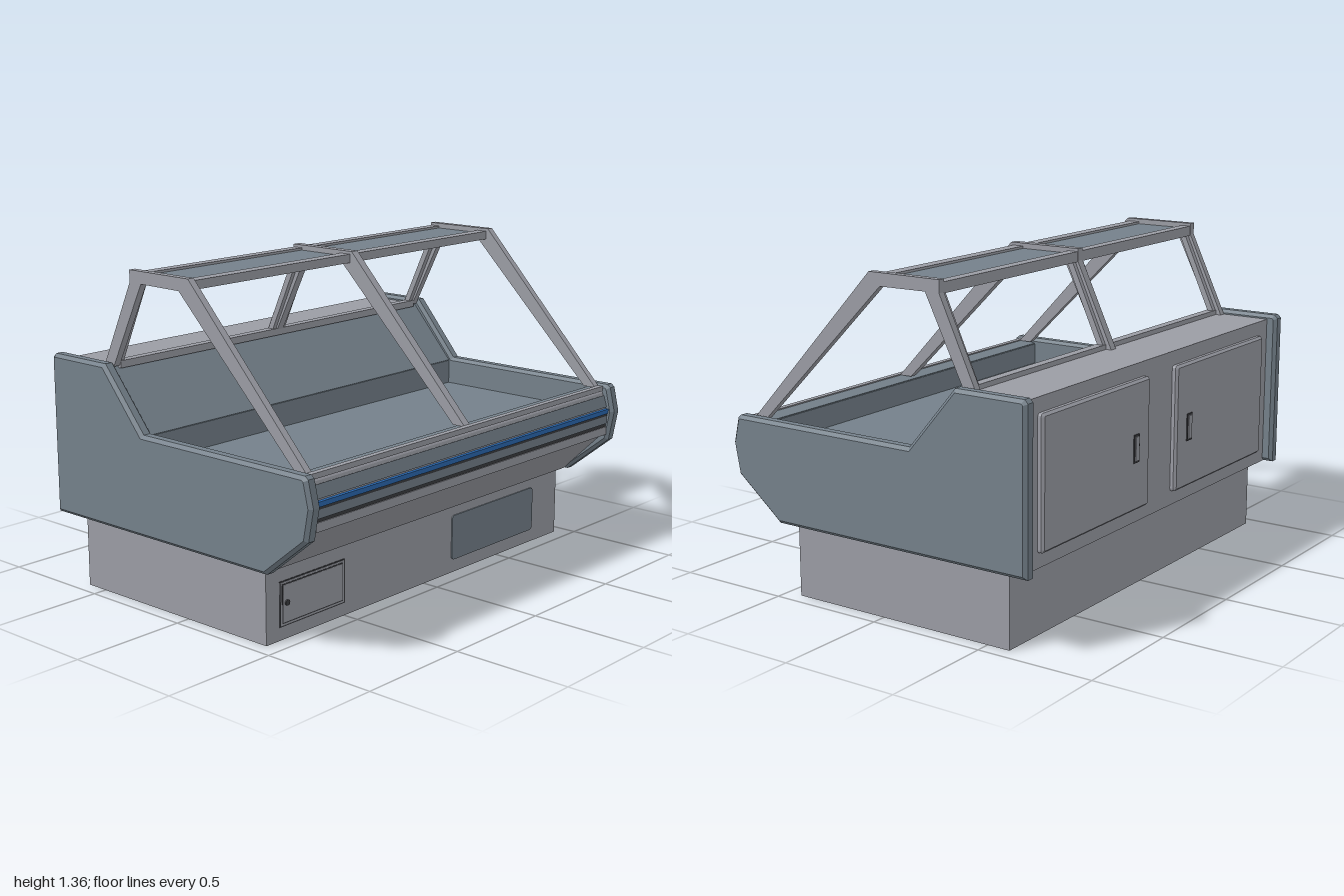
import * as THREE from 'three';

const mat = (name, color) => Object.assign(new THREE.MeshStandardMaterial({ color }), { name });

export function createModel() {
  const steel = mat('steel grey', 0x9a9ca4);
  const panel = mat('blue grey', 0x74808a);
  const dark = mat('dark trim', 0x3a3b3f);
  const blue = mat('blue stripe', 0x2a68b0);
  const root = new THREE.Group();

  const add = (name, geo, material, parent = root) => {
    const m = new THREE.Mesh(geo, material);
    m.name = name;
    parent.add(m);
    return m;
  };
  // box given by its limits on each axis
  const box = (name, material, x0, x1, y0, y1, z0, z1, parent) => {
    const m = add(name, new THREE.BoxGeometry(x1 - x0, y1 - y0, z1 - z0), material, parent);
    m.position.set((x0 + x1) / 2, (y0 + y1) / 2, (z0 + z1) / 2);
    return m;
  };
  // side profile of [z, y] points, extruded from x0 to x1 with an optional chamfer
  const profile = (name, material, pts, x0, x1, bevel = 0) => {
    const shape = new THREE.Shape(pts.map(([z, y]) => new THREE.Vector2(z, y)));
    const geo = new THREE.ExtrudeGeometry(shape, {
      depth: x1 - x0 - 2 * bevel, bevelEnabled: bevel > 0, bevelSegments: 1,
      bevelSize: bevel, bevelThickness: bevel, bevelOffset: -bevel,
    });
    geo.rotateY(-Math.PI / 2);
    geo.translate(x1 - bevel, 0, 0);
    return add(name, geo, material);
  };
  // straight bar or plate between two [z, y] points
  const slab = (name, material, a, b, thick, x0, x1) => {
    const dz = b[0] - a[0], dy = b[1] - a[1];
    const m = add(name, new THREE.BoxGeometry(x1 - x0, thick, Math.hypot(dz, dy)), material);
    m.rotation.x = Math.atan2(-dy, dz);
    m.position.set((x0 + x1) / 2, (a[1] + b[1]) / 2, (a[0] + b[0]) / 2);
    return m;
  };
  // rounded rectangle plate facing +z
  const plate = (w, h, r, depth, bevel = 0) => {
    const s = new THREE.Shape(), x = w / 2, y = h / 2;
    s.moveTo(-x + r, -y).lineTo(x - r, -y).quadraticCurveTo(x, -y, x, -y + r)
      .lineTo(x, y - r).quadraticCurveTo(x, y, x - r, y)
      .lineTo(-x + r, y).quadraticCurveTo(-x, y, -x, y - r)
      .lineTo(-x, -y + r).quadraticCurveTo(-x, -y, -x + r, -y);
    return new THREE.ExtrudeGeometry(s, {
      depth: depth - bevel, curveSegments: 4, bevelEnabled: bevel > 0, bevelSegments: 1,
      bevelSize: bevel, bevelThickness: bevel, bevelOffset: -bevel,
    });
  };

  // plinth and display body
  box('plinth', steel, -0.94, 0.94, 0, 0.315, -0.6, 0.43);
  profile('body', steel, [
    [-0.67, 0.31], [0.47, 0.31], [0.67, 0.505], [0.683, 0.54], [0.683, 0.63], [0.665, 0.69],
    [0.65, 0.712], [0.58, 0.70], [0.58, 0.6], [-0.2, 0.6], [-0.2, 0.71], [-0.42, 0.96], [-0.67, 0.96],
  ], -0.945, 0.945);

  // chamfered end panels
  const endPts = [[-0.715, 0.31], [0.485, 0.31], [0.695, 0.48], [0.72, 0.61], [0.695, 0.715],
    [0.68, 0.727], [-0.18, 0.727], [-0.395, 0.98], [-0.7, 0.98], [-0.715, 0.965]];
  profile('leftEndPanel', panel, endPts, 0.94, 1, 0.014);
  profile('rightEndPanel', panel, endPts, -1, -0.94, 0.014);

  // display well lining
  const liner = [[-0.418, 0.96], [-0.2, 0.712], [-0.2, 0.602], [0.58, 0.602], [0.58, 0.7], [0.645, 0.712]];
  for (let i = 0; i < liner.length - 1; i++)
    slab('wellLining', panel, liner[i], liner[i + 1], 0.008, -0.942, 0.942);

  // front fascia strips
  box('frontTopRail', steel, -0.94, 0.94, 0.698, 0.72, 0.64, 0.665);
  slab('upperFascia', panel, [0.668, 0.678], [0.684, 0.628], 0.01, -0.94, 0.94);
  box('blueStripe', blue, -0.94, 0.94, 0.602, 0.622, 0.68, 0.698);
  box('upperGroove', dark, -0.94, 0.94, 0.59, 0.602, 0.68, 0.692);
  box('lowerFascia', panel, -0.94, 0.94, 0.555, 0.59, 0.68, 0.69);
  box('lowerGroove', dark, -0.94, 0.94, 0.541, 0.555, 0.68, 0.686);
  box('lowerRail', steel, -0.94, 0.94, 0.505, 0.541, 0.66, 0.69);

  // bent canopy posts
  const postPts = [[0.645, 0.715], [0.04, 1.36], [-0.29, 1.36], [-0.29, 1.31], [-0.455, 0.96],
    [-0.4, 0.96], [-0.225, 1.31], [-0.012, 1.308], [0.585, 0.715]];
  for (const [x0, x1] of [[-0.94, -0.91], [-0.018, 0.018], [0.91, 0.94]])
    profile('canopyPost', steel, postPts, x0, x1);

  // rear window frame, canopy rails and canopy plates
  for (const [x0, x1] of [[-0.912, -0.886], [-0.038, 0.038], [0.886, 0.912]])
    slab('rearWindowStile', steel, [-0.418, 0.97], [-0.258, 1.32], 0.025, x0, x1);
  box('rearWindowSill', steel, -0.91, 0.91, 0.95, 0.98, -0.43, -0.392);
  for (const s of [-1, 1]) {
    const a = s < 0 ? -0.912 : 0.016, b = s < 0 ? -0.016 : 0.912;
    box('canopyRearRail', steel, a, b, 1.305, 1.348, -0.288, -0.243);
    box('canopyFrontRail', steel, a, b, 1.312, 1.348, -0.02, 0.03);
    box('canopyPlate', panel, a, b, 1.325, 1.338, -0.245, -0.018);
  }

  // rear doors with handles
  for (const s of [-1, 1]) {
    const door = new THREE.Group();
    door.name = s > 0 ? 'leftRearDoor' : 'rightRearDoor';
    root.add(door);
    const leaf = add('doorLeaf', plate(0.755, 0.53, 0.015, 0.025, 0.01), steel, door);
    leaf.rotation.y = Math.PI;
    leaf.position.set(s * 0.483, 0.635, -0.67);
    box('handleRim', dark, s * 0.21 - 0.02, s * 0.21 + 0.02, 0.57, 0.685, -0.699, -0.69, door);
    box('handle', steel, s * 0.21 - 0.013, s * 0.21 + 0.013, 0.578, 0.677, -0.703, -0.69, door);
  }

  // service hatch and vent on the plinth
  box('hatchRim', dark, -0.867, -0.498, 0.053, 0.237, 0.425, 0.432);
  box('hatchFrame', steel, -0.862, -0.503, 0.058, 0.232, 0.425, 0.433);
  box('hatchGap', dark, -0.855, -0.51, 0.065, 0.225, 0.425, 0.434);
  box('hatchDoor', steel, -0.85, -0.515, 0.07, 0.22, 0.425, 0.435);
  const knob = add('hatchKnob', new THREE.CylinderGeometry(0.012, 0.012, 0.012, 12), dark);
  knob.rotation.x = Math.PI / 2;
  knob.position.set(-0.83, 0.147, 0.434);
  add('ventPanel', plate(0.576, 0.196, 0.018, 0.008), panel).position.set(0.468, 0.155, 0.427);

  return root;
}
